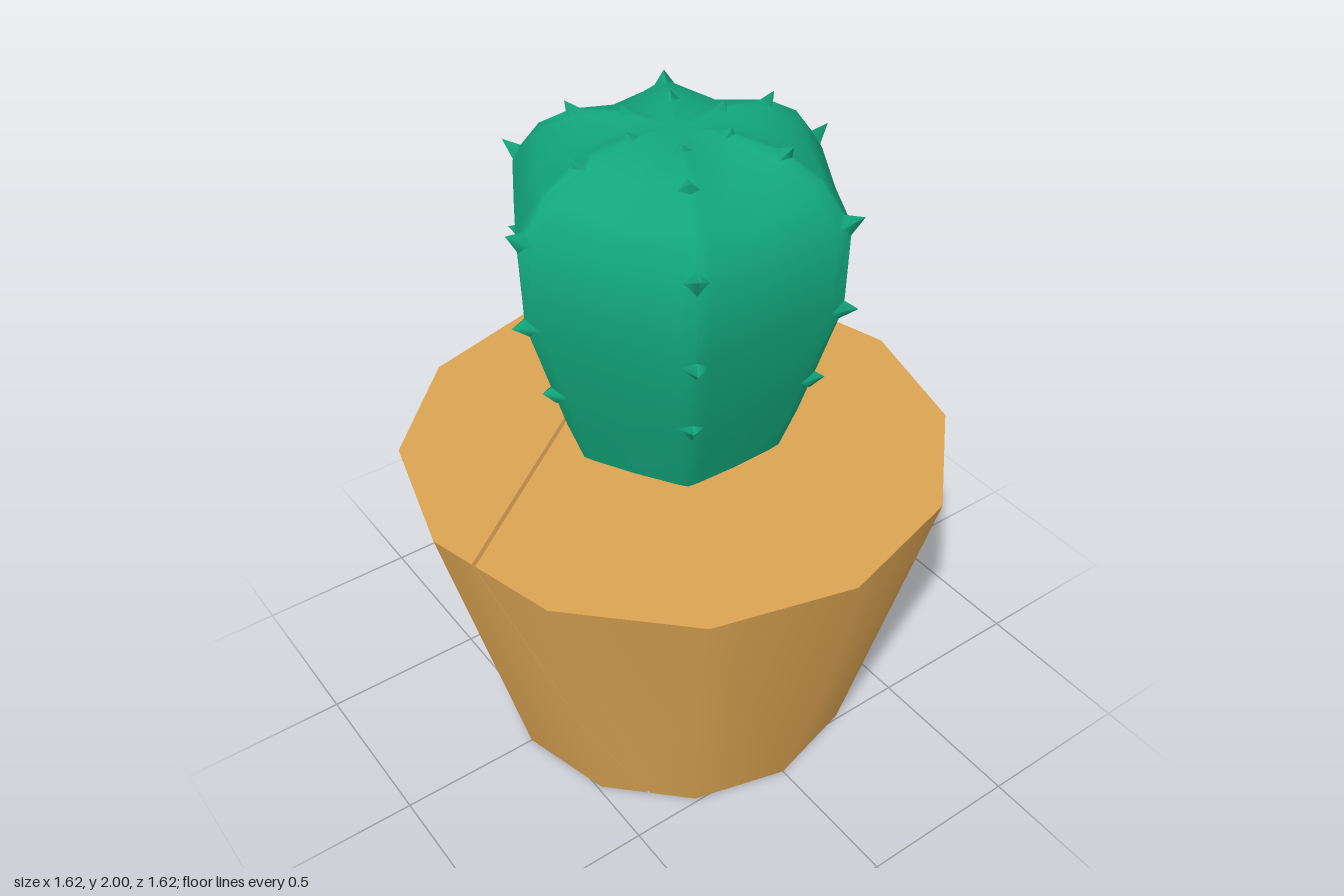
import * as THREE from 'three';
import { ConvexGeometry } from 'three/addons/geometries/ConvexGeometry.js';
import { toCreasedNormals } from 'three/addons/utils/BufferGeometryUtils.js';

const POT_H = 0.98, POT_TOP = 0.81, POT_BASE = 0.565, POT_SIDES = 12;

// One half of the twelve-sided pot, cut off by the slanted crack plane
function potHalf(sign, gap) {
  const normal = new THREE.Vector3(0.81, 0.43, -0.587);
  const dist = (p) => sign * (normal.dot(p) - 0.088) - gap / 2;
  const ring = (r, y) => Array.from({ length: POT_SIDES }, (_, i) => {
    const a = (i / POT_SIDES) * Math.PI * 2;
    return new THREE.Vector3(Math.sin(a) * r, y, Math.cos(a) * r);
  });
  const low = ring(POT_BASE, 0), high = ring(POT_TOP, POT_H);
  const points = [...low, ...high].filter((p) => dist(p) > 0);
  const cut = (a, b) => {
    const da = dist(a), db = dist(b);
    if (da * db < 0) points.push(a.clone().lerp(b, da / (da - db)));
  };
  for (let i = 0; i < POT_SIDES; i++) {
    const j = (i + 1) % POT_SIDES;
    cut(low[i], low[j]);
    cut(high[i], high[j]);
    cut(low[i], high[i]);
  }
  return toCreasedNormals(new ConvexGeometry(points), 0.7);
}

// Rows of the cactus: [ridge y, ridge radius, valley y, valley radius]
const ROWS = [
  [1.04, 0.32, 1.04, 0.285],
  [1.18, 0.37, 1.18, 0.325],
  [1.32, 0.412, 1.32, 0.365],
  [1.55, 0.48, 1.55, 0.412],
  [1.79, 0.485, 1.77, 0.425],
  [1.90, 0.40, 1.87, 0.36],
  [1.96, 0.30, 1.935, 0.25],
  [1.985, 0.15, 1.965, 0.13],
];
const RIBS = 6;

// Ribbed body lofted through the rows, closed above and below
function cactusBody() {
  const verts = [], index = [], cols = RIBS * 4;
  for (const [ry, rr, vy, vr] of ROWS) {
    for (let i = 0; i < RIBS; i++) {
      const a = (i / RIBS) * Math.PI * 2;
      const side = [rr * 0.7 + vr * 0.3, ry * 0.8 + vy * 0.2];
      const section = [[-0.09, ...side], [0, rr, ry], [0.09, ...side], [Math.PI / RIBS, vr, vy]];
      for (const [da, r, y] of section) verts.push(Math.sin(a + da) * r, y, Math.cos(a + da) * r);
    }
  }
  const bottom = verts.length / 3, top = bottom + 1, last = (ROWS.length - 1) * cols;
  verts.push(0, ROWS[0][0], 0, 0, 1.97, 0);
  for (let c = 0; c < cols; c++) {
    const n = (c + 1) % cols;
    for (let r = 0; r < last; r += cols) {
      index.push(r + c, r + n, r + cols + n, r + c, r + cols + n, r + cols + c);
    }
    index.push(bottom, n, c, top, last + c, last + n);
  }
  const g = new THREE.BufferGeometry();
  g.setAttribute('position', new THREE.Float32BufferAttribute(verts, 3));
  g.setIndex(index);
  return toCreasedNormals(g, 0.9);
}

// Spines down each ridge: [root radius, root y, tip radius, tip y]
const SPINES = [
  [0.39, 1.30, 0.442, 1.315],
  [0.46, 1.545, 0.52, 1.555],
  [0.46, 1.79, 0.518, 1.828],
  [0.285, 1.94, 0.32, 1.98],
  [0.14, 1.965, 0.155, 2.0],
];

export function createModel() {
  const model = new THREE.Group();
  const clay = new THREE.MeshStandardMaterial({ color: 0xdba452 });
  const green = new THREE.MeshStandardMaterial({ color: 0x12a67a });

  // Pot in two halves with a thin crack between them
  const pot = new THREE.Group();
  pot.name = 'pot';
  for (const [name, sign] of [['potHalfLeft', 1], ['potHalfRight', -1]]) {
    const half = new THREE.Mesh(potHalf(sign, 0.012), clay);
    half.name = name;
    pot.add(half);
  }

  // Cactus body with spines
  const cactus = new THREE.Group();
  cactus.name = 'cactus';
  const body = new THREE.Mesh(cactusBody(), green);
  body.name = 'cactusBody';
  cactus.add(body);
  const up = new THREE.Vector3(0, 1, 0);
  for (let i = 0; i < RIBS; i++) {
    const rib = new THREE.Group();
    rib.name = 'ribSpines';
    rib.rotation.y = (i / RIBS) * Math.PI * 2;
    for (const [r0, y0, r1, y1] of SPINES) {
      const dir = new THREE.Vector3(0, y1 - y0, r1 - r0), length = dir.length();
      const cone = new THREE.ConeGeometry(0.036, length, 4).translate(0, length / 2, 0);
      const spine = new THREE.Mesh(cone, green);
      spine.name = 'spine';
      spine.position.set(0, y0, r0);
      spine.quaternion.setFromUnitVectors(up, dir.normalize());
      rib.add(spine);
    }
    cactus.add(rib);
  }

  model.add(pot, cactus);
  return model;
}
